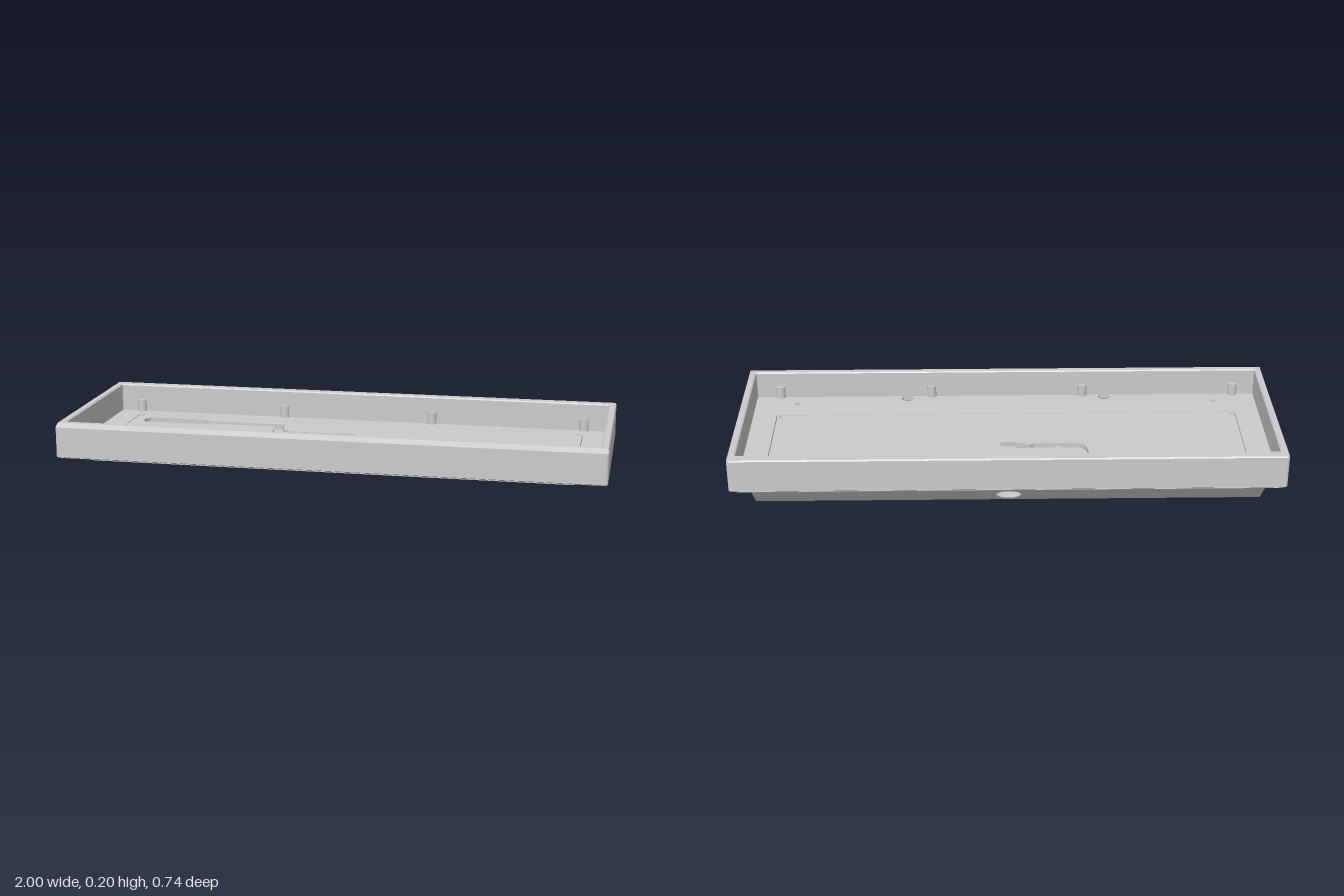
import * as THREE from 'three';

const grey = new THREE.MeshStandardMaterial({ color: 0xcccccc });
const greyDouble = new THREE.MeshStandardMaterial({ color: 0xcccccc, side: THREE.DoubleSide });
const FLOOR = 0.097, BASE = 0.077;

// Rounded rectangle in plan; the shape's y axis is -z
function roundRect(x0, x1, z0, z1, r, Type = THREE.Shape) {
  const s = new Type(), a = -z1, b = -z0;
  s.moveTo(x0 + r, a);
  s.lineTo(x1 - r, a).absarc(x1 - r, a + r, r, -Math.PI / 2, 0);
  s.lineTo(x1, b - r).absarc(x1 - r, b - r, r, 0, Math.PI / 2);
  s.lineTo(x0 + r, b).absarc(x0 + r, b - r, r, Math.PI / 2, Math.PI);
  s.lineTo(x0, a + r).absarc(x0 + r, a + r, r, Math.PI, Math.PI * 1.5);
  return s;
}

const roundHole = (x, z, r) => new THREE.Path().absarc(x, -z, r, 0, Math.PI * 2);

// Extrude a plan shape upward from y0 to y1
function slab(shape, y0, y1, bevel = 0) {
  const g = new THREE.ExtrudeGeometry(shape, {
    depth: y1 - y0 - 2 * bevel, curveSegments: 8, bevelEnabled: bevel > 0,
    bevelThickness: bevel, bevelSize: bevel, bevelOffset: -bevel, bevelSegments: 1,
  });
  return g.rotateX(-Math.PI / 2).translate(0, y0 + bevel, 0);
}

// Outline of the cable channel, routed through the floor
function cableChannel() {
  const p = new THREE.Path();
  p.moveTo(-0.82, 0.15).lineTo(-0.6, 0.15).lineTo(-0.58, 0.165).lineTo(-0.33, 0.165);
  p.bezierCurveTo(-0.27, 0.165, -0.33, 0.065, -0.25, 0.065);
  p.lineTo(-0.1, 0.065).lineTo(-0.08, 0.08).lineTo(-0.06, 0.065).lineTo(-0.03, 0.065);
  p.lineTo(-0.03, 0.055).lineTo(0.025, 0.055).lineTo(0.025, 0.11).lineTo(-0.03, 0.11);
  p.lineTo(-0.03, 0.1).lineTo(-0.17, 0.1).lineTo(-0.19, 0.085).lineTo(-0.21, 0.1);
  p.bezierCurveTo(-0.3, 0.1, -0.23, 0.202, -0.3, 0.202);
  p.lineTo(-0.58, 0.202).lineTo(-0.6, 0.22).lineTo(-0.81, 0.22);
  p.bezierCurveTo(-0.84, 0.22, -0.84, 0.15, -0.82, 0.15);
  return p;
}

// Half cross-section of the wedge at t (0 front, 1 back), top to bottom
function wedgeHalf(t) {
  const bottom = 0.075 - 0.07 * t;
  const arc = Math.max(bottom, 0.075 - 0.023 * (1 - (2 * t - 1) ** 2));
  return [[0.98, BASE], [0.955, arc], [0.918, arc], [0.912, bottom]];
}

const wedgeLength = (y) => 0.685 + 0.055 * Math.min(1, (y - 0.005) / 0.07);

// Tapered underside with a scooped flange along each end
function wedgeGeometry() {
  const pos = [], idx = [], steps = 32, n = 8;
  for (let i = 0; i <= steps; i++) {
    const t = i / steps, half = wedgeHalf(t);
    const ring = [...half, ...half.map(([x, y]) => [-x, y]).reverse()];
    for (const [x, y] of ring) pos.push(x, y, 0.37 - t * wedgeLength(y));
  }
  for (let i = 0; i < steps; i++) {
    for (let j = 0; j < n; j++) {
      const a = i * n + j, b = i * n + (j + 1) % n;
      idx.push(a, b, a + n, b, b + n, a + n);
    }
  }
  const g = new THREE.BufferGeometry();
  g.setAttribute('position', new THREE.Float32BufferAttribute(pos, 3));
  g.setIndex(idx);
  const flat = g.toNonIndexed();
  flat.computeVertexNormals();
  return flat;
}

// Sloping back wall of the wedge, pierced by the cable port
function wedgeBackGeometry() {
  const half = wedgeHalf(1);
  const ring = [...half, ...half.map(([x, y]) => [-x, y]).reverse()];
  const s = new THREE.Shape(ring.map(([x, y]) => new THREE.Vector2(x, y)));
  s.holes.push(new THREE.Path().absellipse(0, 0.042, 0.045, 0.025, 0, Math.PI * 2));
  const g = new THREE.ShapeGeometry(s, 24), p = g.attributes.position;
  for (let i = 0; i < p.count; i++) p.setZ(i, 0.37 - wedgeLength(p.getY(i)));
  g.computeVertexNormals();
  return g;
}

export function createModel() {
  const model = new THREE.Group();
  const add = (name, geometry, parent = model, material = grey) => {
    const m = new THREE.Mesh(geometry, material);
    m.name = name;
    parent.add(m);
    return m;
  };

  // Rim walls, with a wider chamfer along the front top edge
  const rim = roundRect(-1, 1, -0.37, 0.37, 0.012);
  rim.holes.push(roundRect(-0.972, 0.972, -0.328, 0.322, 0.005, THREE.Path));
  const rimGeo = slab(rim, 0.075, 0.203, 0.004);
  const p = rimGeo.attributes.position;
  for (let i = 0; i < p.count; i++) {
    if (p.getZ(i) < 0.35) continue;
    if (p.getY(i) > 0.201) p.setZ(i, 0.345);
    else if (p.getY(i) > 0.15) p.setY(i, 0.19);
  }
  rimGeo.computeVertexNormals();
  add('rim', rimGeo);

  // Tray floor around the inset panel
  const floor = roundRect(-0.98, 0.98, -0.335, 0.33, 0.005);
  floor.holes.push(roundRect(-0.882, 0.882, -0.267, 0.172, 0.004, THREE.Path));
  for (const s of [-1, 1]) {
    floor.holes.push(roundHole(s * 0.81, 0.265, 0.01));
    floor.holes.push(roundRect(s * 0.385 - 0.022, s * 0.385 + 0.022, 0.283, 0.326, 0.02, THREE.Path));
  }
  add('floorBorder', slab(floor, BASE, FLOOR));

  // Inset panel with the cable channel and corner screw holes
  const panel = roundRect(-0.879, 0.879, -0.264, 0.169, 0.004);
  panel.holes.push(cableChannel());
  for (const x of [-0.865, 0.865]) {
    for (const z of [-0.252, 0.155]) panel.holes.push(roundHole(x, z, 0.008));
  }
  add('floorPanel', slab(panel, BASE, FLOOR));

  // Mounting pegs along the front and back walls
  const pegs = new THREE.Group();
  pegs.name = 'mountingPegs';
  model.add(pegs);
  for (const x of [-0.89, -0.3, 0.29, 0.88]) {
    for (const z of [-0.33, 0.325]) {
      add('mountingPeg', new THREE.CylinderGeometry(0.018, 0.018, 0.05, 20), pegs).position.set(x, 0.119, z);
    }
  }

  // Wedge underside and cable port
  add('wedge', wedgeGeometry());
  add('wedgeBack', wedgeBackGeometry(), model, greyDouble);
  const port = new THREE.CylinderGeometry(1, 1, 0.11, 28, 1, true).rotateX(Math.PI / 2).scale(0.045, 0.025, 1);
  // The mouth of the port follows the slope of the back wall
  const q = port.attributes.position;
  for (let i = 0; i < q.count; i++) {
    const y = q.getY(i) + 0.042;
    q.setXYZ(i, q.getX(i), y, q.getZ(i) < 0 ? 0.37 - wedgeLength(y) : -0.23);
  }
  port.computeVertexNormals();
  add('cablePort', port, model, greyDouble);
  const portEnd = add('cablePortEnd', new THREE.CircleGeometry(1, 28).scale(0.045, 0.025, 1), model, greyDouble);
  portEnd.position.set(0, 0.042, -0.23);

  // Tilted bottom plate with recessed screws
  const bottom = new THREE.Group();
  bottom.name = 'bottomPlate';
  bottom.position.set(0, 0.04, 0.028);
  bottom.rotation.x = -Math.atan(0.07 / 0.685);
  model.add(bottom);
  const plate = roundRect(-0.885, 0.885, -0.298, 0.298, 0.02);
  const screws = [-1, 1].flatMap((s) => [[s * 0.85, -0.268], [s * 0.81, 0.245]]);
  for (const [x, z] of screws) plate.holes.push(roundHole(x, z, 0.018));
  add('plate', slab(plate, -0.009, 0.002), bottom);
  for (const [x, z] of screws) {
    add('screw', new THREE.CylinderGeometry(0.013, 0.013, 0.008, 16), bottom).position.set(x, -0.001, z);
  }
  return model;
}
